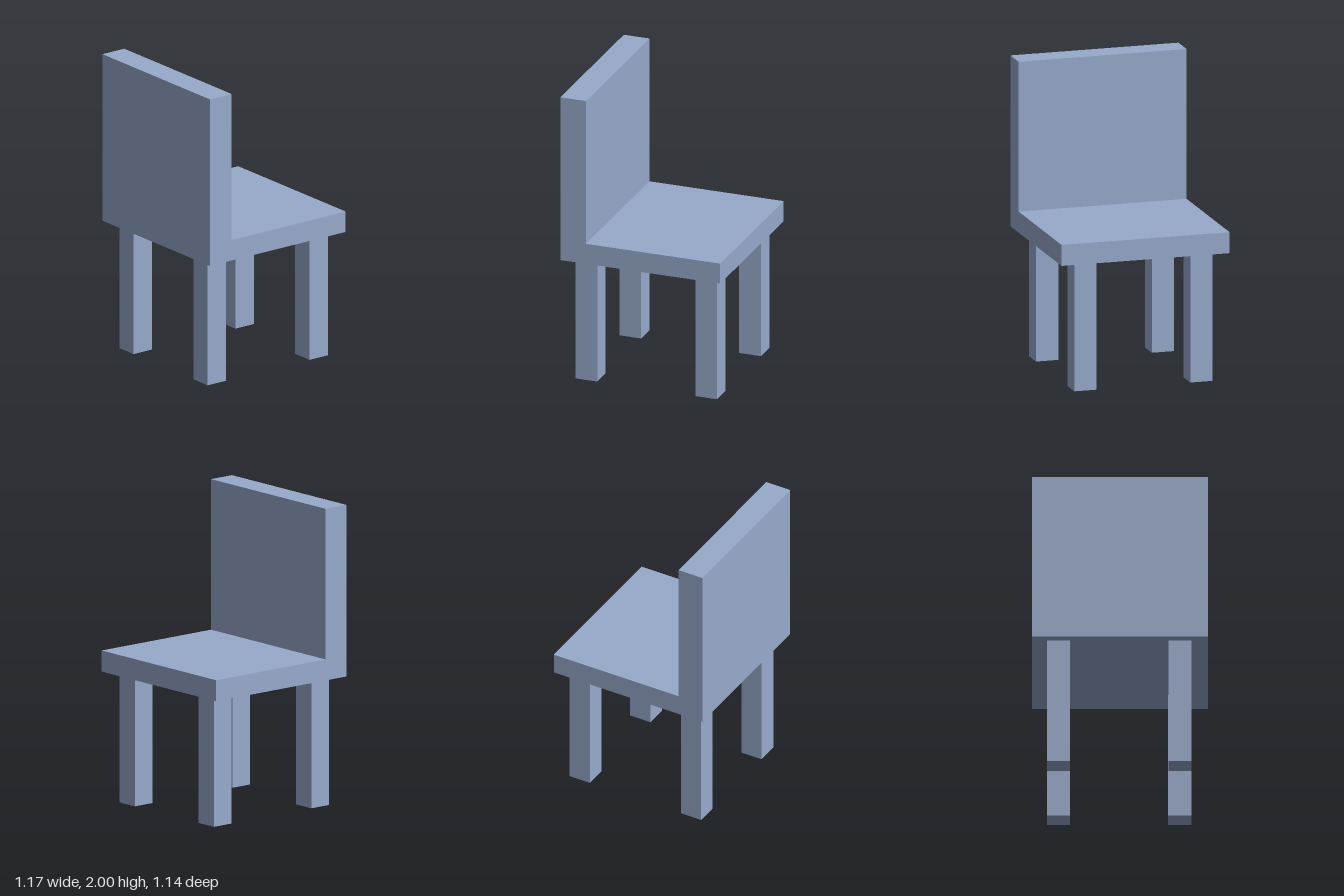
import * as THREE from 'three';

export function createModel() {
  const chair = new THREE.Group();
  chair.name = 'chair';
  const paint = new THREE.MeshStandardMaterial({ color: 0x98aacc });
  paint.name = 'blue grey';

  // Sizes shared by the parts
  const width = 1.14, depth = 1.11;
  const legHeight = 0.86, seatTop = 1, top = 2;
  const backThickness = 0.178, legSize = 0.151;

  function add(name, geometry) {
    const mesh = new THREE.Mesh(geometry, paint);
    mesh.name = name;
    chair.add(mesh);
    return mesh;
  }

  // Seat and backrest: one L-shaped side profile, extruded across the width
  const profile = new THREE.Shape([
    [-depth / 2, legHeight], [depth / 2, legHeight], [depth / 2, top],
    [depth / 2 - backThickness, top], [depth / 2 - backThickness, seatTop],
    [-depth / 2, seatTop],
  ].map(([z, y]) => new THREE.Vector2(z, y)));
  const body = new THREE.ExtrudeGeometry(profile, { depth: width, bevelEnabled: false });
  body.translate(0, 0, -width / 2);
  body.rotateY(-Math.PI / 2);
  add('seatAndBackrest', body);

  // Four square legs
  const legGeometry = new THREE.BoxGeometry(legSize, legHeight, legSize);
  for (const [side, x] of [['right', -0.398], ['left', 0.388]]) {
    for (const [end, z] of [['Front', 0.415], ['Back', -0.417]]) {
      add(`${side}${end}Leg`, legGeometry).position.set(x, legHeight / 2, z);
    }
  }

  // The whole chair stands slightly turned
  chair.rotation.y = -0.0236;
  return chair;
}
